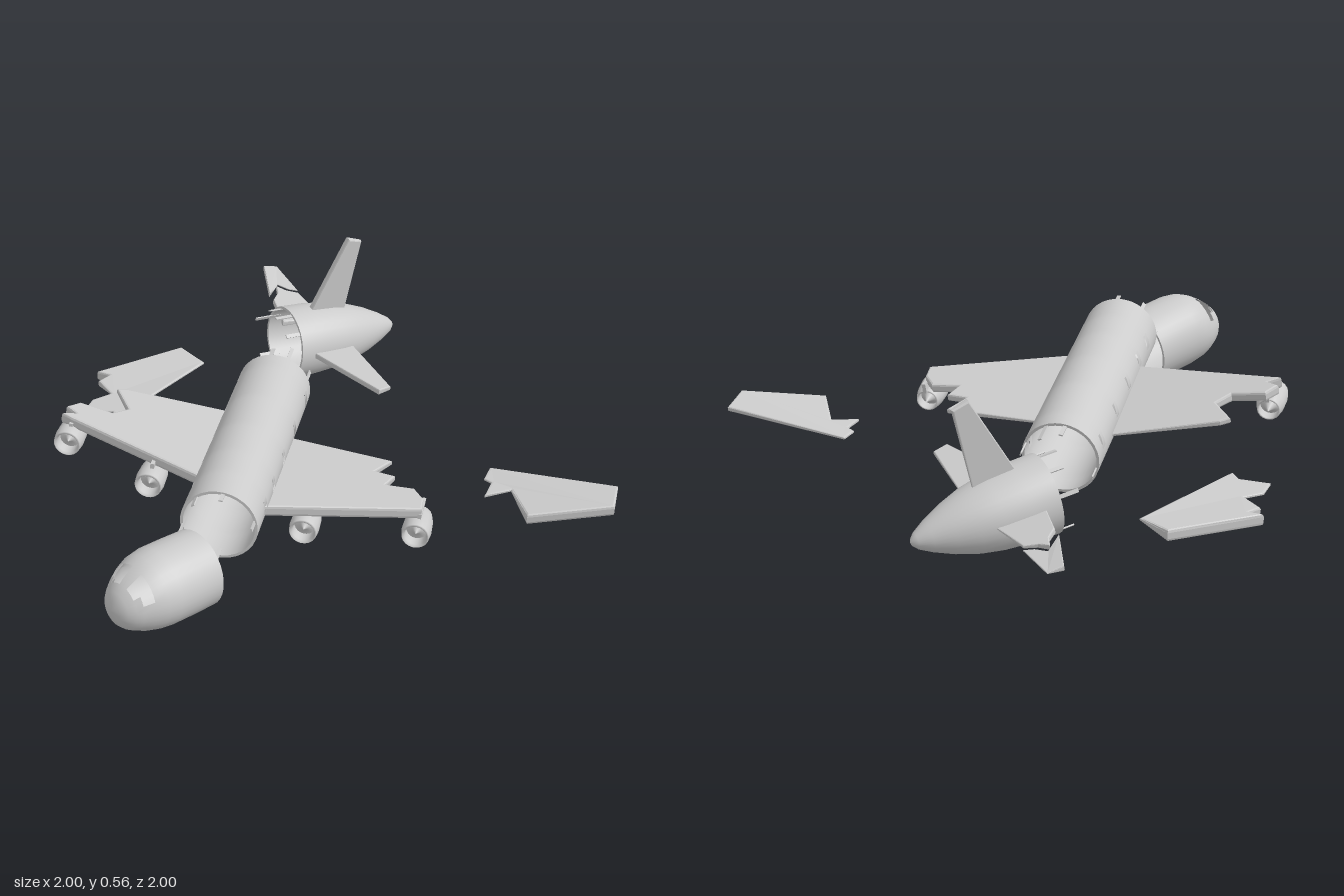
import * as THREE from 'three';

const mat = new THREE.MeshStandardMaterial({ color: 0xcccccc, side: THREE.DoubleSide });
const SEG = 32;

function add(parent, name, geo) {
  const m = new THREE.Mesh(geo, mat);
  m.name = name;
  parent.add(m);
  return m;
}

function section(root, name, pos, yaw, pitch, roll) {
  const g = new THREE.Group();
  g.name = name;
  g.position.set(...pos);
  g.rotation.set(roll, yaw, pitch, 'YZX');
  root.add(g);
  return g;
}

// Skin around the x axis from [x, radius, yOffset] stations; isHole(i, j) leaves a cell open.
// Angle cells j run from the top towards +z.
function skin(profile, inset, isHole = () => false) {
  const pos = [], idx = [];
  for (const [x, r, dy = 0] of profile)
    for (let j = 0; j < SEG; j++) {
      const a = (j / SEG) * Math.PI * 2, q = Math.max(0, r - inset);
      pos.push(x, dy + q * Math.cos(a), q * Math.sin(a));
    }
  for (let i = 0; i < profile.length - 1; i++)
    for (let j = 0; j < SEG; j++) {
      if (isHole(i, j)) continue;
      const k = (j + 1) % SEG, a = i * SEG + j, b = i * SEG + k, c = a + SEG, d = b + SEG;
      idx.push(a, b, c, b, d, c);
    }
  const g = new THREE.BufferGeometry();
  g.setAttribute('position', new THREE.Float32BufferAttribute(pos, 3));
  g.setIndex(idx);
  g.computeVertexNormals();
  return g;
}

// Outer skin, inner lining and the rims of the torn ends
function hull(parent, name, profile, rims, isHole) {
  add(parent, name + 'Skin', skin(profile, 0, isHole));
  add(parent, name + 'Lining', skin(profile, 0.01, isHole));
  for (const [x, r] of rims) {
    const ring = add(parent, name + 'Rim', new THREE.RingGeometry(r - 0.01, r, SEG));
    ring.rotation.y = Math.PI / 2;
    ring.position.x = x;
  }
}

// Flat wing-like panel from an [x, z] outline. The first two points are the leading
// edge; thickness falls off towards the last point. lift(x, z) sets the height.
function panel(parent, name, pts, thick, lift) {
  const shape = new THREE.Shape(pts.map(p => new THREE.Vector2(...p)));
  const bevel = thick * 0.25;
  const geo = new THREE.ExtrudeGeometry(shape, {
    depth: thick - 2 * bevel, bevelThickness: bevel, bevelSize: bevel * 0.7,
    bevelOffset: -bevel * 0.7, bevelSegments: 2,
  });
  geo.translate(0, 0, bevel - thick / 2);
  geo.rotateX(Math.PI / 2);
  const [a, b] = pts, last = pts[pts.length - 1];
  const dist = (x, z) => Math.abs((b[0] - a[0]) * (z - a[1]) - (b[1] - a[1]) * (x - a[0]));
  const p = geo.attributes.position;
  for (let i = 0; i < p.count; i++) {
    const x = p.getX(i), z = p.getZ(i);
    const f = Math.min(1, dist(x, z) / dist(...last));
    p.setY(i, p.getY(i) * (1 - 0.75 * f) + lift(x, z));
  }
  geo.computeVertexNormals();
  return add(parent, name, geo);
}

// Bare stringers sticking out of a torn end: [degrees from top, length]
function stringers(parent, x, dir, radius, list) {
  for (const [deg, len] of list) {
    const a = THREE.MathUtils.degToRad(deg), full = len + 0.04;
    const rod = add(parent, 'stringer', new THREE.BoxGeometry(full, 0.005, 0.014));
    rod.position.set(x + dir * (len - full / 2), radius * Math.cos(a), radius * Math.sin(a));
    rod.rotation.x = a;
  }
}

function engine(parent, x, y, z, wingY) {
  const g = new THREE.Group();
  g.name = 'engine';
  g.position.set(x, y, z);
  parent.add(g);
  const lathe = (name, pts) => {
    const geo = new THREE.LatheGeometry(pts.map(p => new THREE.Vector2(p[1], p[0])), 20);
    geo.rotateZ(-Math.PI / 2);
    add(g, name, geo);
  };
  lathe('nacelle', [[0.05, 0.038], [0.012, 0.04], [0, 0.045], [0.006, 0.05], [0.04, 0.054],
    [0.1, 0.051], [0.14, 0.042], [0.14, 0.036], [0.1, 0.036]]);
  lathe('fan', [[0.02, 0], [0.045, 0.016], [0.05, 0.04]]);
  lathe('exhaust', [[0.1, 0.038], [0.11, 0.022], [0.155, 0]]);
  const pylon = add(g, 'pylon', new THREE.BoxGeometry(0.11, Math.max(0.02, wingY - y - 0.035), 0.014));
  pylon.position.set(0.095, (wingY - y + 0.035) / 2, 0);
}

export function createModel() {
  const root = new THREE.Group();
  root.name = 'brokenAirliner';

  // Nose with open windscreen panes
  const nose = section(root, 'nose', [-1, 0.187, 0.145], -0.076, -0.12, 0);
  const noseProfile = [[0, 0, -0.022], [0.003, 0.035, -0.022], [0.018, 0.065, -0.02], [0.04, 0.086, -0.018],
    [0.06, 0.1, -0.014], [0.1, 0.122, -0.007], [0.14, 0.136, -0.002], [0.19, 0.143], [0.28, 0.143], [0.375, 0.141]];
  hull(nose, 'nose', noseProfile, [[0.375, 0.141]], (i, j) => {
    const side = Math.min(j, SEG - 1 - j);
    return (i === 4 && side >= 1 && side <= 5) || (i === 3 && side >= 1 && side <= 3);
  });

  // Middle fuselage with five window openings on each side
  const body = section(root, 'fuselage', [-0.505, 0.25, 0.158], 0.56, -0.095, 0.115);
  const windows = [0.136, 0.277, 0.455, 0.655, 0.87], half = 0.019;
  const stations = [0, ...windows.flatMap(u => [u - half, u + half]), 0.95].map(u => [u, 0.139]);
  hull(body, 'fuselage', stations, [[0, 0.139], [0.95, 0.139]],
    (i, j) => i % 2 === 1 && [6, 7, SEG - 7, SEG - 8].includes(j));
  stringers(body, 0, -1, 0.13, [[0, 0.04], [-45, 0.05], [-105, 0.08], [175, 0.12], [70, 0.05]]);
  stringers(body, 0.95, 1, 0.13, [[-15, 0.06], [15, 0.09], [65, 0.07], [120, 0.06], [-110, 0.06]]);

  // Wings with jagged broken ends
  const wingLift = (x, z) => -0.035 + 0.06 * Math.abs(z);
  panel(body, 'rightWing', [[0.175, 0.125], [0.329, 0.67], [0.40, 0.665], [0.46, 0.622], [0.454, 0.518],
    [0.521, 0.543], [0.533, 0.467], [0.62, 0.516], [0.664, 0.125]], 0.045, wingLift);
  panel(body, 'leftWing', [[0.265, -0.125], [0.404, -0.653], [0.417, -0.692], [0.442, -0.647], [0.47, -0.69],
    [0.521, -0.651], [0.513, -0.526], [0.567, -0.48], [0.678, -0.552], [0.697, -0.517], [0.746, -0.125]],
    0.045, wingLift);
  for (const [x, y, z] of [[0.285, -0.068, 0.665], [0.188, -0.09, 0.274], [0.354, -0.062, -0.65], [0.25, -0.09, -0.313]])
    engine(body, x, y, z, wingLift(x, z));

  // Tail cone, fin and tailplanes
  const tail = section(root, 'tail', [0.526, 0.165, -0.51], -0.31, -0.15, 0);
  hull(tail, 'tail', [[0, 0.143], [0.1, 0.141], [0.2, 0.131], [0.28, 0.115], [0.36, 0.088], [0.43, 0.056],
    [0.475, 0.03], [0.492, 0.012], [0.496, 0]], [[0, 0.143]]);
  stringers(tail, 0, -1, 0.133, [[-70, 0.07], [-30, 0.05], [8, 0.07], [45, 0.06], [140, 0.05], [-140, 0.05]]);
  const fin = panel(tail, 'fin', [[0.08, 0.1], [0.214, 0.437], [0.275, 0.42], [0.25, 0.1]], 0.028, () => 0);
  fin.rotation.x = -Math.PI / 2;
  const tailLift = (x, z) => 0.005 + 0.05 * Math.abs(z);
  panel(tail, 'rightTailplane', [[0.05, 0.11], [0.153, 0.465], [0.212, 0.452], [0.243, 0.1]], 0.024, tailLift);
  panel(tail, 'leftTailplane', [[0.05, -0.11], [0.088, -0.264], [0.128, -0.303], [0.149, -0.352],
    [0.175, -0.315], [0.216, -0.29], [0.235, -0.1]], 0.024, tailLift);
  panel(tail, 'brokenTailplaneTip', [[0.094, -0.308], [0.169, -0.5], [0.227, -0.493], [0.226, -0.309],
    [0.193, -0.329], [0.165, -0.37], [0.14, -0.345]], 0.022, tailLift);

  // Broken-off wing tips lying on the ground
  panel(root, 'leftWingTip', [[-0.03, -1], [0.305, -0.87], [0.3, -0.735], [-0.18, -0.72], [-0.165, -0.765],
    [-0.23, -0.855], [-0.16, -0.885], [-0.085, -0.86], [-0.065, -0.955], [-0.01, -0.95]].reverse()
    .sort((a, b) => 0).map((p, i, all) => all[(i + 8) % all.length]), 0.045,
    (x, z) => 0.06 + 0.08 * (z + 0.86));
  panel(root, 'rightWingTip', [[0.445, 0.78], [0.68, 0.995], [0.795, 0.925], [0.595, 0.485], [0.53, 0.51],
    [0.53, 0.545], [0.455, 0.575], [0.54, 0.63]], 0.045,
    (x, z) => 0.06 + 0.05 * (x - 0.6) + 0.06 * (z - 0.75));
  return root;
}
